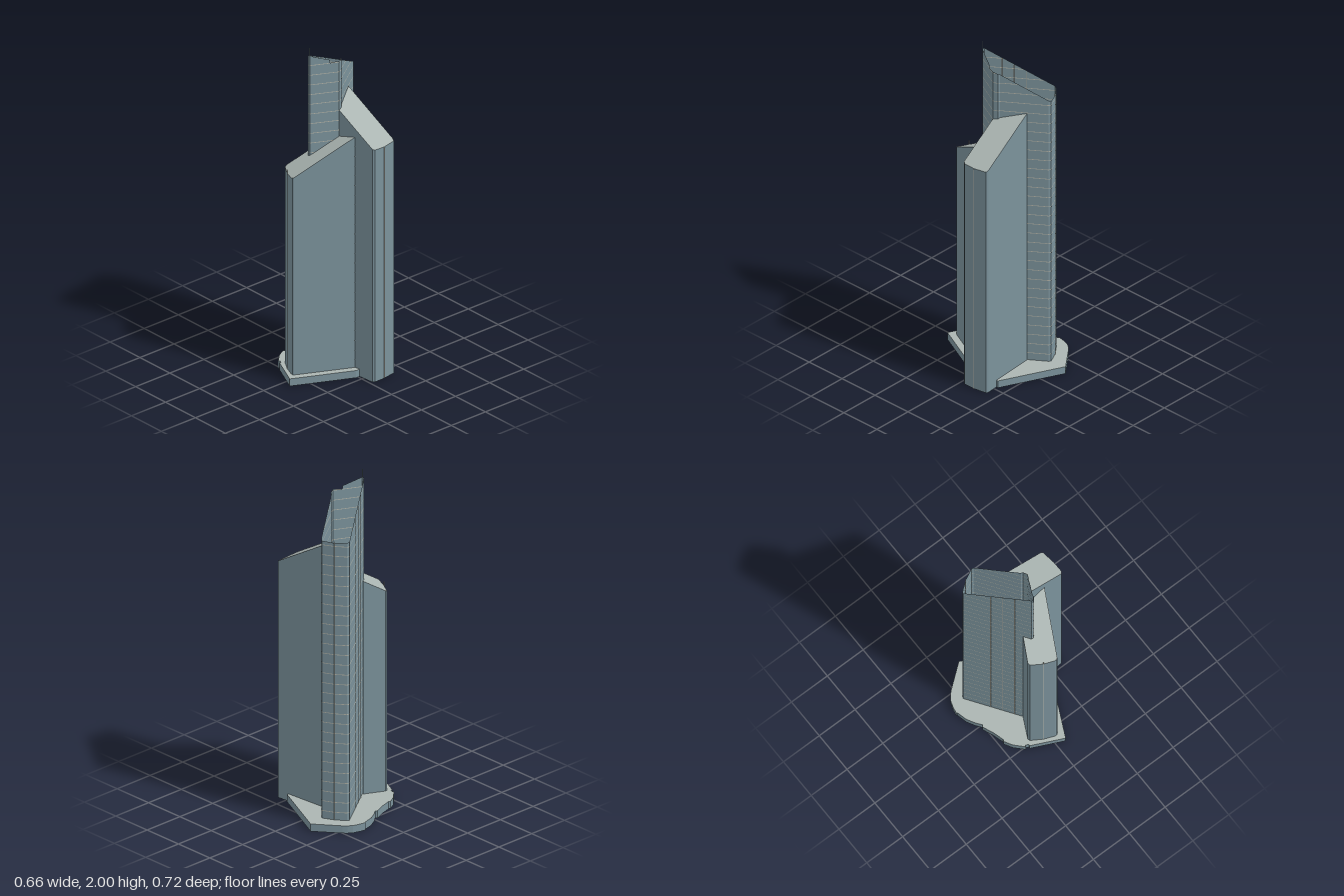
import * as THREE from 'three';

const glass = new THREE.MeshStandardMaterial({ name: 'blueGreyGlass', color: 0x7b929b, side: THREE.DoubleSide });
const stone = new THREE.MeshStandardMaterial({ name: 'paleGreyRoof', color: 0xabb5b2, side: THREE.DoubleSide });
const trim = new THREE.MeshStandardMaterial({ name: 'paleTrim', color: 0xb4b5aa, side: THREE.DoubleSide });

function meshFrom(name, positions, material) {
  const geo = new THREE.BufferGeometry();
  geo.setAttribute('position', new THREE.Float32BufferAttribute(positions, 3));
  geo.computeVertexNormals();
  const mesh = new THREE.Mesh(geo, material);
  mesh.name = name;
  return mesh;
}

function quad(out, a, b, c, d) {
  out.push(...a, ...b, ...c, ...a, ...c, ...d);
}

// Outlines are lists of [x, z, topHeight], made to run so that walls face outwards
function outward(outline) {
  const pts = outline.map((p) => new THREE.Vector2(p[0], -p[1]));
  return THREE.ShapeUtils.area(pts) > 0 ? outline : outline.slice().reverse();
}

function walls(name, outline) {
  const out = [];
  outline.forEach((p, i) => {
    const q = outline[(i + 1) % outline.length];
    if (Math.hypot(p[0] - q[0], p[1] - q[1]) < 1e-5) return;
    quad(out, [p[0], 0, p[1]], [q[0], 0, q[1]], [q[0], q[2], q[1]], [p[0], p[2], p[1]]);
  });
  return meshFrom(name, out, glass);
}

function cap(name, outline, material, height) {
  const pts = outline.map((p) => new THREE.Vector2(p[0], -p[1]));
  const out = [];
  for (const tri of THREE.ShapeUtils.triangulateShape(pts, [])) {
    for (const i of tri) {
      const p = outline[i];
      out.push(p[0], height === undefined ? p[2] : height, p[1]);
    }
  }
  return meshFrom(name, out, material);
}

// Thin floor lines around each wall, cut off where the sloping top passes below them
function floorLines(name, outline, sides) {
  const out = [], h = 0.004, step = 0.06;
  outline.forEach((p, i) => {
    const q = outline[(i + 1) % outline.length];
    const dx = q[0] - p[0], dz = q[1] - p[1], len = Math.hypot(dx, dz);
    if (len < 1e-5) return;
    for (let y = 0.09; y + h < Math.max(p[2], q[2]); y += step) {
      let t0 = 0, t1 = 1;
      const cut = (y + h - p[2]) / (q[2] - p[2]);
      if (p[2] < y + h) t0 = cut;
      if (q[2] < y + h) t1 = cut;
      for (const s of sides) {
        const ox = (-dz / len) * 0.001 * s, oz = (dx / len) * 0.001 * s;
        const at = (t, yy) => [p[0] + dx * t - ox, yy, p[1] + dz * t - oz];
        quad(out, at(t0, y), at(t1, y), at(t1, y + h), at(t0, y + h));
      }
    }
  });
  return meshFrom(name, out, trim);
}

// Gives each outline point a height on a plane falling along the wing's axis
function slope(points, start, axis, top, fall) {
  return points.map(([x, z]) => [x, z, top - fall * ((x - start[0]) * axis[0] + (z - start[1]) * axis[1])]);
}

function wing(name, outline, roofed) {
  const group = new THREE.Group();
  group.name = name;
  const ring = outward(outline);
  group.add(walls(name + 'Walls', ring), floorLines(name + 'FloorLines', ring, roofed ? [1] : [1, -1]));
  if (roofed) group.add(cap(name + 'Roof', ring, stone));
  return group;
}

// Upright trim line on a facade
function mullion(name, x, z, height) {
  const mesh = new THREE.Mesh(new THREE.BoxGeometry(0.003, height, 0.003), trim);
  mesh.name = name;
  mesh.position.set(x, height / 2, z);
  return mesh;
}

export function createModel() {
  const model = new THREE.Group();
  model.name = 'tower';

  // Podium slab with a stepped, curved side
  const podium = outward([
    [-0.135, -0.36], [0.23, -0.19], [0.23, -0.18], [0.22, -0.005], [0.22, 0.015], [0.055, 0.357],
    [-0.13, 0.27], [-0.127, 0.262], [-0.145, 0.253], [-0.15, 0.262], [-0.2, 0.21], [-0.227, 0.163],
    [-0.222, 0.152], [-0.24, 0.09], [-0.267, 0.025], [-0.259, 0.015], [-0.285, -0.02], [-0.31, -0.065],
    [-0.325, -0.125], [-0.331, -0.13], [-0.325, -0.165], [-0.312, -0.205], [-0.295, -0.23], [-0.275, -0.25],
  ].map(([x, z]) => [x, z, 0.045]));
  model.add(walls('podiumSides', podium), cap('podiumTop', podium, stone, 0.045));
  const underside = cap('podiumUnderside', podium.slice().reverse(), stone, 0);
  model.add(underside);

  // Low wing, running to the front
  model.add(wing('frontWing', slope([
    [0.065, 0.003], [0.187, -0.005], [0.035, 0.307], [0.028, 0.312], [0.015, 0.311], [-0.045, 0.287],
    [-0.11, 0.247], [-0.113, 0.232], [-0.055, 0.115], [-0.025, 0.153], [-0.01, 0.153],
  ], [0.187, -0.005], [-0.46, 0.89], 1.47, 0.585), true));

  // Middle wing, running to the side
  model.add(wing('sideWing', slope([
    [-0.04, -0.157], [0.3, -0.185], [0.313, -0.18], [0.326, -0.1], [0.327, -0.03], [0.318, -0.018],
    [0.065, 0.003], [0.053, -0.026], [0.043, -0.03],
  ], [-0.04, -0.157], [0.997, -0.07], 1.65, 0.6), true));

  // Tall wing, a screen of walls open at the top, with a step in its front panel
  const tall = slope([
    [-0.025, 0.153], [-0.249, -0.173], [-0.243, -0.187], [-0.187, -0.23], [-0.123, -0.262], [-0.11, -0.254],
    [0.043, -0.03], [0.053, -0.026],
  ], [-0.025, 0.153], [-0.53, -0.85], 1.95, 0.53);
  tall.push([0.065, 0.003, 1.9], [0.041, 0.05, 1.893], [0.041, 0.05, 1.912], [-0.01, 0.153, 1.95]);
  model.add(wing('tallWing', tall, false));

  // Mast on the highest corner
  const mast = new THREE.Mesh(new THREE.BoxGeometry(0.003, 0.1, 0.003), glass);
  mast.name = 'mast';
  mast.position.set(-0.012, 1.95, 0.153);
  model.add(mast);

  // Upright lines on the rounded wing ends
  model.add(
    mullion('frontMullion', -0.045, 0.287, 1.28),
    mullion('sideMullion', 0.326, -0.1, 1.43),
    mullion('tallMullion', -0.187, -0.23, 1.74),
  );
  for (const t of [0.25, 0.42, 0.6]) {
    model.add(mullion('tallSideMullion', -0.025 - 0.224 * t, 0.153 - 0.326 * t, 1.95 - 0.2 * t - 0.01));
  }
  return model;
}
